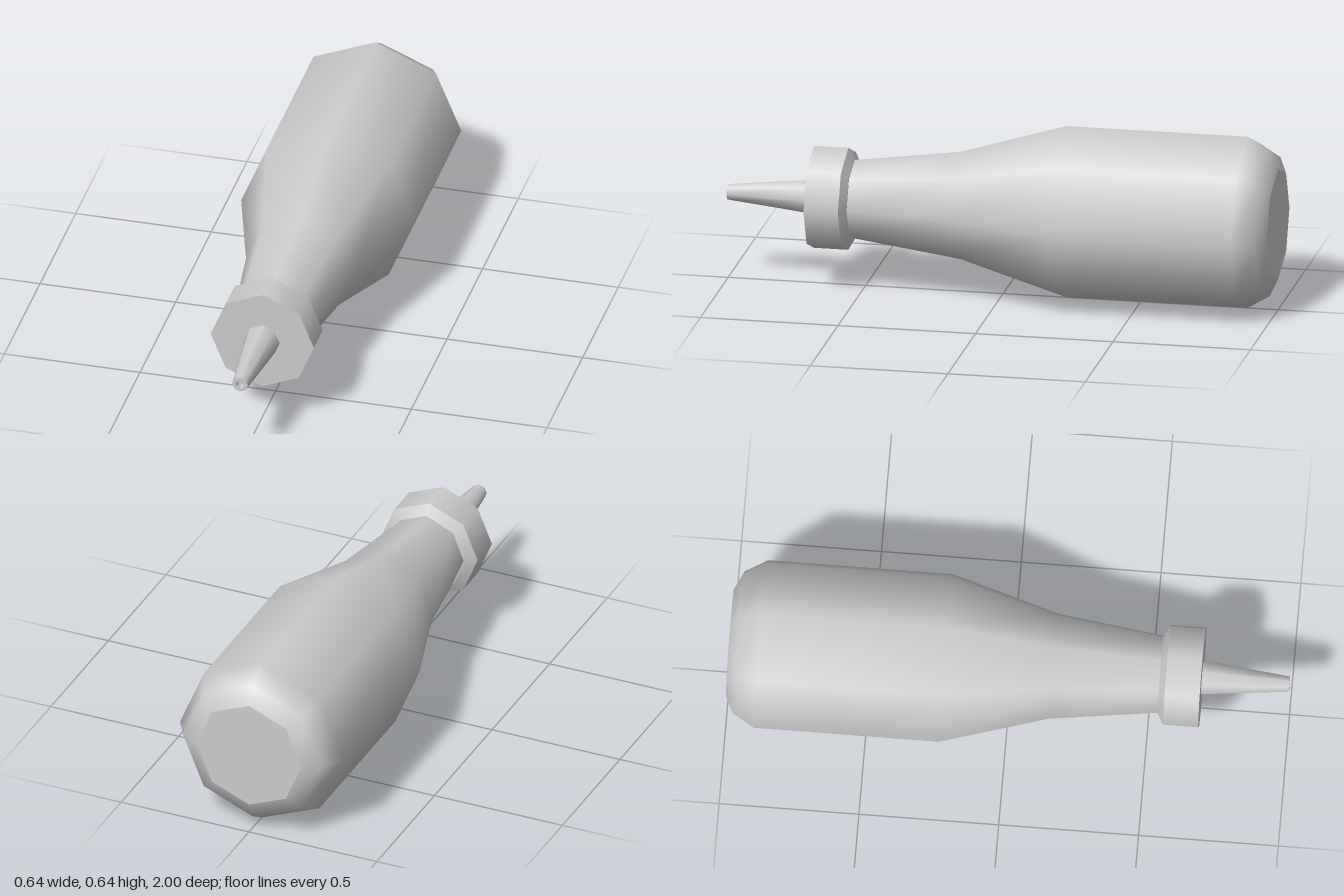
import * as THREE from 'three';
import { mergeGeometries } from 'three/addons/utils/BufferGeometryUtils.js';

const SIDES = 8;

// Turns profile strips of [radius, z] (back to front) around the z axis.
// Normals are smooth within a strip and sharp between strips.
function turned(name, strips) {
  const parts = strips.map((strip) =>
    new THREE.LatheGeometry(strip.map(([r, z]) => new THREE.Vector2(r, z)), SIDES));
  const geometry = mergeGeometries(parts);
  geometry.rotateX(Math.PI / 2);
  const mesh = new THREE.Mesh(geometry, new THREE.MeshStandardMaterial({ color: 0xcccccc }));
  mesh.name = name;
  return mesh;
}

export function createModel() {
  const bottle = new THREE.Group();
  bottle.name = 'squeezeBottle';

  // Body: flat base, rounded shoulder, straight barrel, tapering neck
  const body = turned('body', [
    [[0, -1], [0.205, -1]],
    [[0.205, -1], [0.27, -0.97], [0.319, -0.89], [0.319, -0.23], [0.2, 0.155], [0.145, 0.55]],
  ]);

  // Cap: chamfered back, straight rim, flat front
  const cap = turned('cap', [
    [[0, 0.54], [0.15, 0.54]],
    [[0.15, 0.54], [0.19, 0.563]],
    [[0.19, 0.563], [0.19, 0.688]],
    [[0.19, 0.688], [0, 0.688]],
  ]);

  // Nozzle: tapered spout with a small recessed opening
  const nozzle = turned('nozzle', [
    [[0.064, 0.688], [0.029, 1]],
    [[0.029, 1], [0.016, 1]],
    [[0.016, 1], [0.016, 0.97]],
    [[0.016, 0.97], [0, 0.97]],
  ]);

  bottle.add(body, cap, nozzle);
  bottle.position.y = 0.319;

  const model = new THREE.Group();
  model.add(bottle);
  return model;
}
